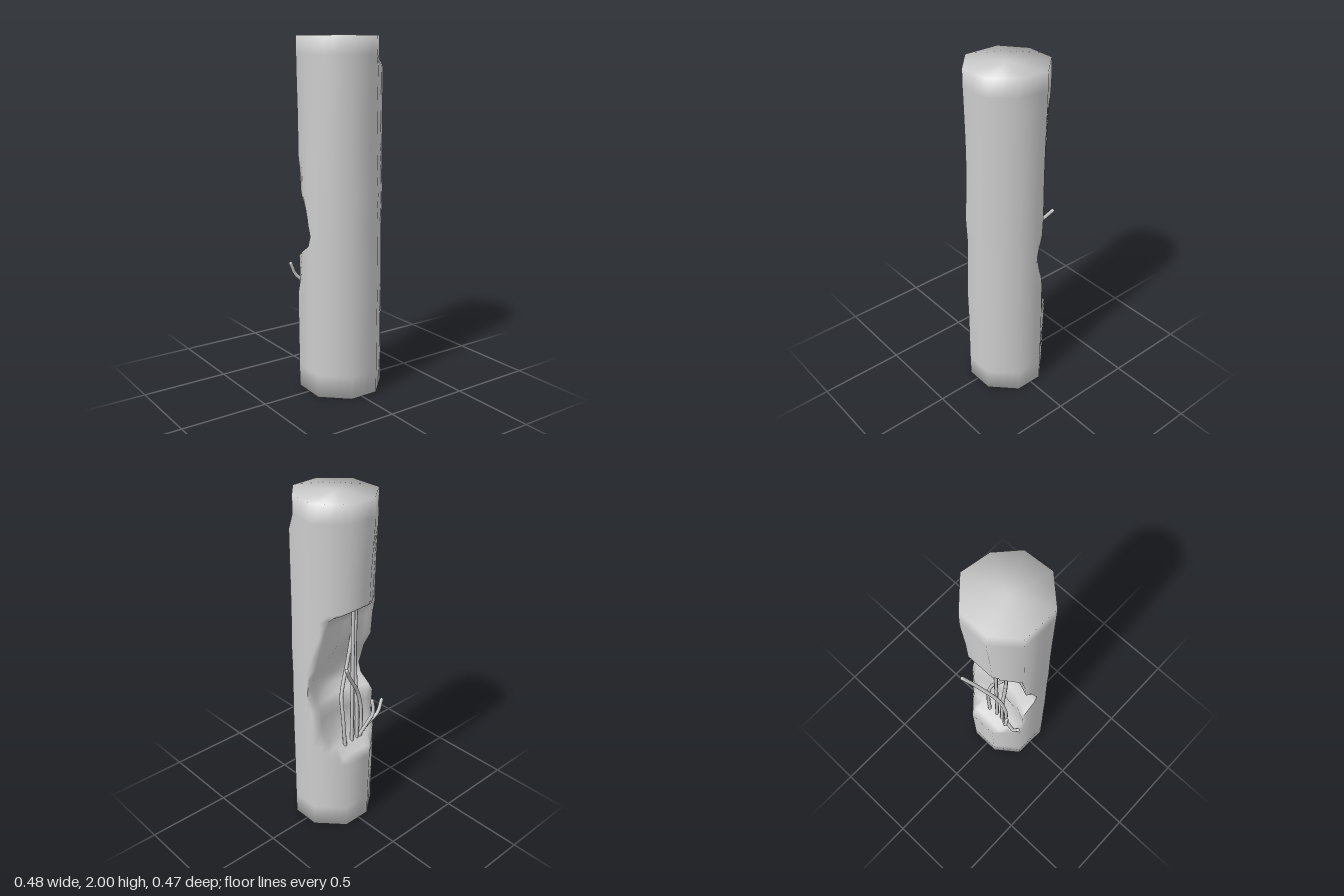
import * as THREE from 'three';

const material = new THREE.MeshStandardMaterial({ color: 0xcccccc, side: THREE.DoubleSide });

// Octagonal section, seen from above
const corners = [[.1, .21], [.235, .07], [.235, -.1], [.1, -.233], [-.07, -.233], [-.215, -.1], [-.215, .07], [-.11, .203]];
const SPLIT = 4;

// Width of each side along the height: y, left factor, right factor
const widths = [[0, .97, .97], [.13, .98, .98], [.45, 1.02, .98], [.65, 1, 1], [1, .95, .95], [1.15, .93, .985],
  [1.3, .92, .94], [1.42, .9, .92], [1.6, .93, .92], [1.83, 1.01, .94], [1.9, 1.02, .95], [2, 1, .95]];

// Broken-out side: y, x of the break at the front, x of the break at the back
const breakRows = [[.45, -.24, -.24], [.48, -.19, -.19], [.53, -.14, -.14], [.57, -.11, -.12], [.65, -.09, -.085],
  [.72, -.095, -.08], [.785, -.1, -.06], [.815, -.07, -.05], [.86, 0, -.04], [.92, .02, -.03], [.98, 0, -.04],
  [1.05, -.02, -.06], [1.15, -.075, -.085], [1.28, -.085, -.11], [1.36, -.1, -.14], [1.4, -.19, -.19], [1.42, -.24, -.24]];

// Linear lookup in a table sorted by its first column
function lookup(table, y, column) {
  const i = Math.max(1, table.findIndex(r => r[0] >= y));
  const a = table[i - 1], b = table[i];
  return THREE.MathUtils.lerp(a[column], b[column], (y - a[0]) / (b[0] - a[0]));
}

// x of the broken face, scooped out between its front and back edges
function breakX(y, z) {
  if (y < .45 || y > 1.42) return -1;
  const x = THREE.MathUtils.lerp(lookup(breakRows, y, 2), lookup(breakRows, y, 1), (z + .23) / .44);
  const depth = THREE.MathUtils.clamp((x + .24) / .15, 0, 1);
  const lumps = .008 * Math.sin(y * 31 + z * 23);
  return x + depth * Math.max(0, 1 - (z / .2) ** 2) * (.04 + lumps);
}

function ringAt(y) {
  const left = lookup(widths, y, 1), right = lookup(widths, y, 2);
  const chip = THREE.MathUtils.smoothstep(y, 1.82, 1.89);
  const section = corners.map(([x, z], i) => {
    // Chipped back corner near the top
    if (i === 3) z += .028 * chip;
    if (i === 2) x -= .012 * chip;
    return [x * (x < 0 ? left : right), z];
  });
  const ring = [];
  section.forEach(([x, z], i) => {
    const next = section[(i + 1) % 8];
    for (let k = 0; k < SPLIT; k++) {
      const t = k / SPLIT;
      const px = x + (next[0] - x) * t, pz = z + (next[1] - z) * t;
      const bx = breakX(y, pz);
      ring.push({ x: Math.max(px, bx), z: pz, broken: bx > px });
    }
  });
  return ring;
}

function createColumn() {
  const heights = [...new Set([...widths, ...breakRows].map(r => r[0]))].sort((a, b) => a - b);
  const n = 8 * SPLIT, last = heights.length - 1;
  const positions = [], indices = [], flags = [];
  heights.forEach((y, row) => ringAt(y).forEach((p, i) => {
    positions.push(p.x, y, p.z);
    flags.push(p.broken);
    if (row < last) {
      const a = row * n + i, b = row * n + (i + 1) % n;
      indices.push(a, b, b + n, a, b + n, a + n);
    }
  }));
  // End caps
  const bottom = positions.length / 3, top = bottom + 1;
  positions.push(0, 0, 0, 0, 2, 0);
  for (let i = 0; i < n; i++) {
    const j = (i + 1) % n;
    indices.push(bottom, j, i, top, last * n + i, last * n + j);
  }
  const geometry = new THREE.BufferGeometry();
  geometry.setAttribute('position', new THREE.Float32BufferAttribute(positions, 3));
  geometry.setIndex(indices);
  geometry.computeVertexNormals();
  // Soft round shading on the unbroken faces
  const normal = new THREE.Vector3();
  flags.forEach((broken, i) => {
    if (broken) return;
    const row = Math.floor(i / n);
    normal.set(positions[3 * i], 0, positions[3 * i + 2]).normalize();
    normal.y = row === 0 ? -.8 : row === last ? .8 : 0;
    normal.normalize();
    geometry.attributes.normal.setXYZ(i, normal.x, normal.y, normal.z);
  });
  const mesh = new THREE.Mesh(geometry, material);
  mesh.name = 'brokenColumn';
  return mesh;
}

// One reinforcing rod along a smooth path, with rounded ends
function createRod(points) {
  const path = points.map(p => new THREE.Vector3(...p));
  const radius = .011;
  const rod = new THREE.Group();
  rod.name = 'reinforcingRod';
  rod.add(new THREE.Mesh(new THREE.TubeGeometry(new THREE.CatmullRomCurve3(path), 20, radius, 8), material));
  for (const end of [path[0], path[path.length - 1]]) {
    const tip = new THREE.Mesh(new THREE.SphereGeometry(radius, 8, 6), material);
    tip.position.copy(end);
    rod.add(tip);
  }
  rod.children.forEach((m, i) => { m.name = i ? 'rodEnd' : 'rodShaft'; });
  return rod;
}

export function createModel() {
  const group = new THREE.Group();
  group.name = 'brokenPillar';
  group.add(createColumn());

  const rods = [
    // Whole rods crossing the gap
    [[-.12, .48, .02], [-.12, .95, .02], [-.12, 1.42, .02]],
    [[-.12, .48, .06], [-.115, .75, .06], [-.09, 1.05, .065], [-.09, 1.42, .07]],
    // Rods snapped and bent
    [[-.125, .48, -.035], [-.12, .7, -.05], [-.1, .85, -.045], [-.075, 1.02, .02], [-.07, 1.18, .06]],
    [[-.12, .5, .09], [-.12, .72, .09], [-.13, .85, .05], [-.185, 1, -.06], [-.23, 1.1, -.13]],
    [[-.115, .53, .085], [-.14, .6, .13], [-.16, .66, .19], [-.155, .73, .225]],
    [[-.12, .53, .08], [-.15, .61, .11], [-.172, .69, .14], [-.162, .76, .14]],
  ];
  rods.forEach(r => group.add(createRod(r)));
  return group;
}
